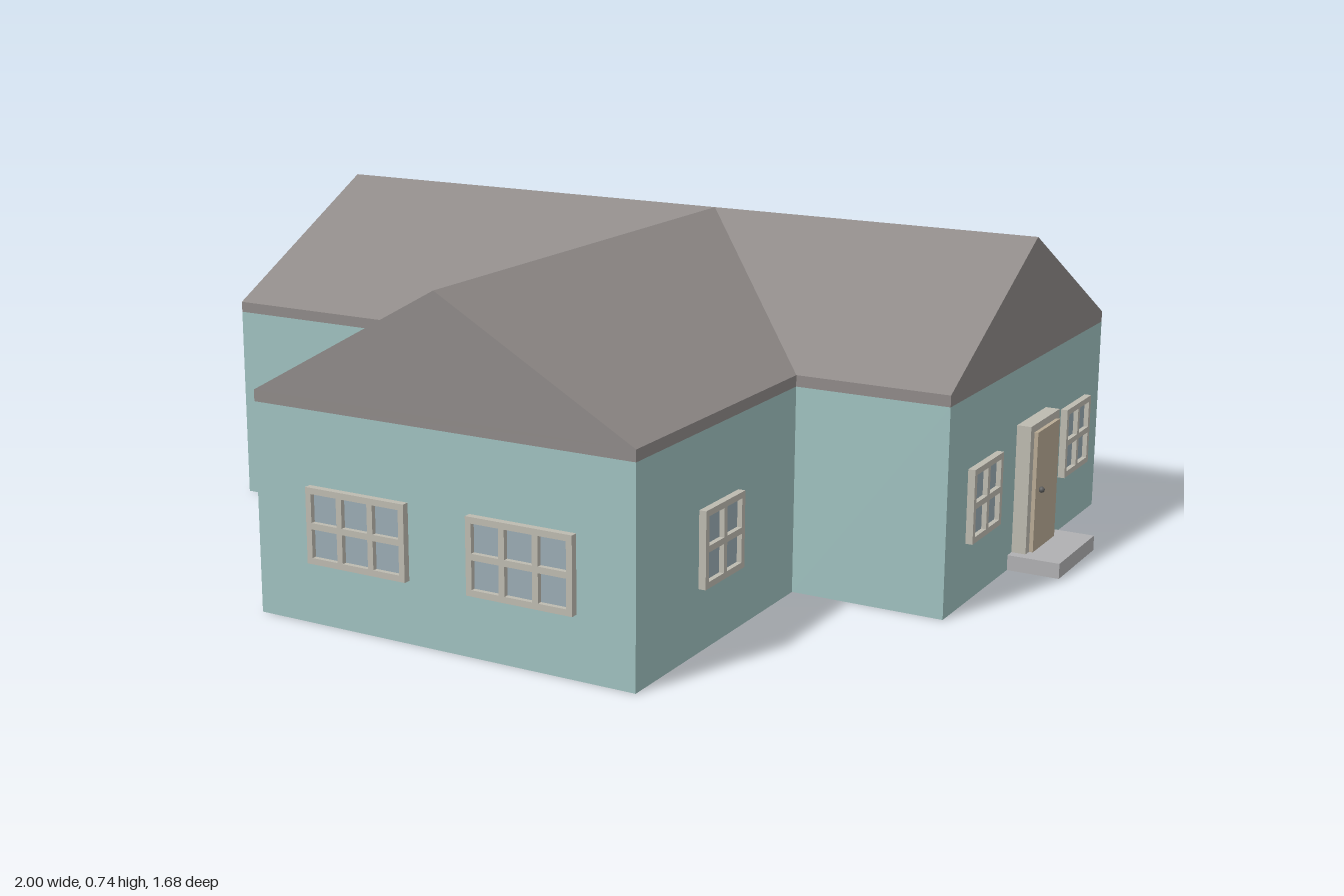
import * as THREE from 'three';

const paint = (color, side = THREE.FrontSide) =>
  new THREE.MeshStandardMaterial({ color, side });
const MAT = {
  wall: paint(0x9fc1bf, THREE.DoubleSide),
  roof: paint(0x8f8a88, THREE.DoubleSide),
  frame: paint(0xbdbab0),
  glass: paint(0x9aabb3),
  door: paint(0xb8aa94),
  step: paint(0xb0b0b2, THREE.DoubleSide),
  knob: paint(0x5a5a5a),
};

// Main block, front wing and heights
const L = -0.985, R = 0.877, BACK = -0.822, MID = 0.141, FRONT = 0.822;
const WL = -0.384, WR = 0.527, RIDGE_X = 0.073, RIDGE_Z = -0.341;
const WALL_TOP = 0.46, EAVE = 0.485, PEAK = 0.74;

// T-shaped footprint as [x, z], counter-clockwise from above
const OUTLINE = [
  [WL, FRONT], [WR, FRONT], [WR, MID], [R, MID],
  [R, BACK], [L, BACK], [L, MID], [WL, MID],
];

function mesh(name, geometry, material) {
  const m = new THREE.Mesh(geometry, material);
  m.name = name;
  return m;
}

// Flat-shaded geometry from convex polygons (corners counter-clockwise)
function faces(polygons) {
  const pos = [];
  for (const p of polygons)
    for (let i = 1; i < p.length - 1; i++) pos.push(...p[0], ...p[i], ...p[i + 1]);
  const g = new THREE.BufferGeometry();
  g.setAttribute('position', new THREE.Float32BufferAttribute(pos, 3));
  g.computeVertexNormals();
  return g;
}

// Vertical faces around the footprint
function band(y0, y1) {
  return OUTLINE.map(([x, z], i) => {
    const [u, w] = OUTLINE[(i + 1) % OUTLINE.length];
    return [[x, y0, z], [u, y0, w], [u, y1, w], [x, y1, z]];
  });
}

function rect(path, x0, y0, x1, y1) {
  path.moveTo(x0, y0);
  path.lineTo(x1, y0);
  path.lineTo(x1, y1);
  path.lineTo(x0, y1);
  path.closePath();
  return path;
}

function box(name, w, h, d, x, y, z, material) {
  const m = mesh(name, new THREE.BoxGeometry(w, h, d), material);
  m.position.set(x, y, z);
  return m;
}

// Two-row window facing +z, origin at the wall
function makeWindow(columns) {
  const g = new THREE.Group();
  g.name = 'window';
  const pane = 0.064, bar = 0.0135;
  const w = columns * pane + (columns + 1) * bar;
  const h = 2 * pane + 3 * bar - 0.004;
  const shape = rect(new THREE.Shape(), -w / 2, -h / 2, w / 2, h / 2);
  for (let c = 0; c < columns; c++)
    for (let r = 0; r < 2; r++) {
      const x = -w / 2 + bar + c * (pane + bar);
      const y = -h / 2 + bar + r * (pane + bar - 0.002);
      shape.holes.push(rect(new THREE.Path(), x, y, x + pane, y + pane - 0.002));
    }
  const frame = new THREE.ExtrudeGeometry(shape, { depth: 0.016, bevelEnabled: false });
  g.add(mesh('windowFrame', frame, MAT.frame));
  g.add(box('windowGlass', w - bar, h - bar, 0.005, 0, 0, 0.0025, MAT.glass));
  return g;
}

// Door with surround, knob and hollow step, facing +z
function makeDoor() {
  const g = new THREE.Group();
  g.name = 'door';
  const surround = rect(new THREE.Shape(), -0.093, 0.035, 0.093, 0.33);
  surround.holes.push(rect(new THREE.Path(), -0.071, 0.036, 0.071, 0.313));
  g.add(mesh('doorFrame',
    new THREE.ExtrudeGeometry(surround, { depth: 0.033, bevelEnabled: false }), MAT.frame));
  g.add(box('doorLeaf', 0.142, 0.278, 0.042, 0, 0.174, 0.021, MAT.door));

  const knob = mesh('doorKnob', new THREE.SphereGeometry(0.007, 12, 8), MAT.knob);
  knob.position.set(-0.045, 0.176, 0.047);
  g.add(knob);

  const step = box('doorStep', 0.236, 0.035, 0.121, 0, 0.0175, 0.0605, MAT.step);
  const index = Array.from(step.geometry.index.array);
  index.splice(18, 6); // open underside
  step.geometry.setIndex(index);
  step.geometry.clearGroups();
  g.add(step);
  return g;
}

export function createModel() {
  const model = new THREE.Group();
  model.name = 'house';

  // Walls, open below, with a flat ceiling
  model.add(mesh('walls', faces(band(0, WALL_TOP)), MAT.wall));
  const floorPlan = new THREE.Shape(OUTLINE.map(([x, z]) => new THREE.Vector2(x, -z)));
  const ceiling = mesh('ceiling', new THREE.ShapeGeometry(floorPlan), MAT.wall);
  ceiling.geometry.rotateX(-Math.PI / 2);
  ceiling.position.y = WALL_TOP;
  model.add(ceiling);

  // Roof: fascia, slopes meeting in valleys, and gables
  model.add(mesh('fascia', faces(band(WALL_TOP, EAVE)), MAT.roof));
  const joint = [RIDGE_X, PEAK, RIDGE_Z];
  const leftEnd = [L, PEAK, RIDGE_Z], rightEnd = [R, PEAK, RIDGE_Z];
  const frontEnd = [RIDGE_X, PEAK, FRONT];
  const eave = (x, z) => [x, EAVE, z];
  model.add(mesh('roofSlopes', faces([
    [eave(R, BACK), eave(L, BACK), leftEnd, rightEnd],
    [eave(L, MID), eave(WL, MID), joint, leftEnd],
    [eave(WR, MID), eave(R, MID), rightEnd, joint],
    [eave(WL, MID), eave(WL, FRONT), frontEnd, joint],
    [eave(WR, FRONT), eave(WR, MID), joint, frontEnd],
  ]), MAT.roof));
  model.add(mesh('gables', faces([
    [eave(WL, FRONT), eave(WR, FRONT), frontEnd],
    [eave(R, MID), eave(R, BACK), rightEnd],
    [eave(L, BACK), eave(L, MID), leftEnd],
  ]), MAT.roof));

  // Fittings placed on a wall with a quarter-turn heading
  const place = (part, x, y, z, turns) => {
    part.position.set(x, y, z);
    part.rotation.y = turns * Math.PI / 2;
    model.add(part);
  };
  const sill = 0.218;
  for (const x of [-0.123, 0.272]) place(makeWindow(3), x, sill, FRONT, 0);
  for (const x of [-0.643, -0.066, 0.53]) place(makeWindow(3), x, sill, BACK, 2);
  for (const z of [-0.555, -0.135]) place(makeWindow(3), L, sill, z, -1);
  for (const z of [0.324, 0.618]) place(makeWindow(2), WL, sill, z, -1);
  for (const z of [-0.057, -0.639]) place(makeWindow(2), R, sill, z, 1);
  place(makeWindow(2), WR, sill, 0.487, 1);
  place(makeDoor(), -0.683, 0, MID, 0);
  place(makeDoor(), R, 0, -0.354, 1);

  return model;
}
